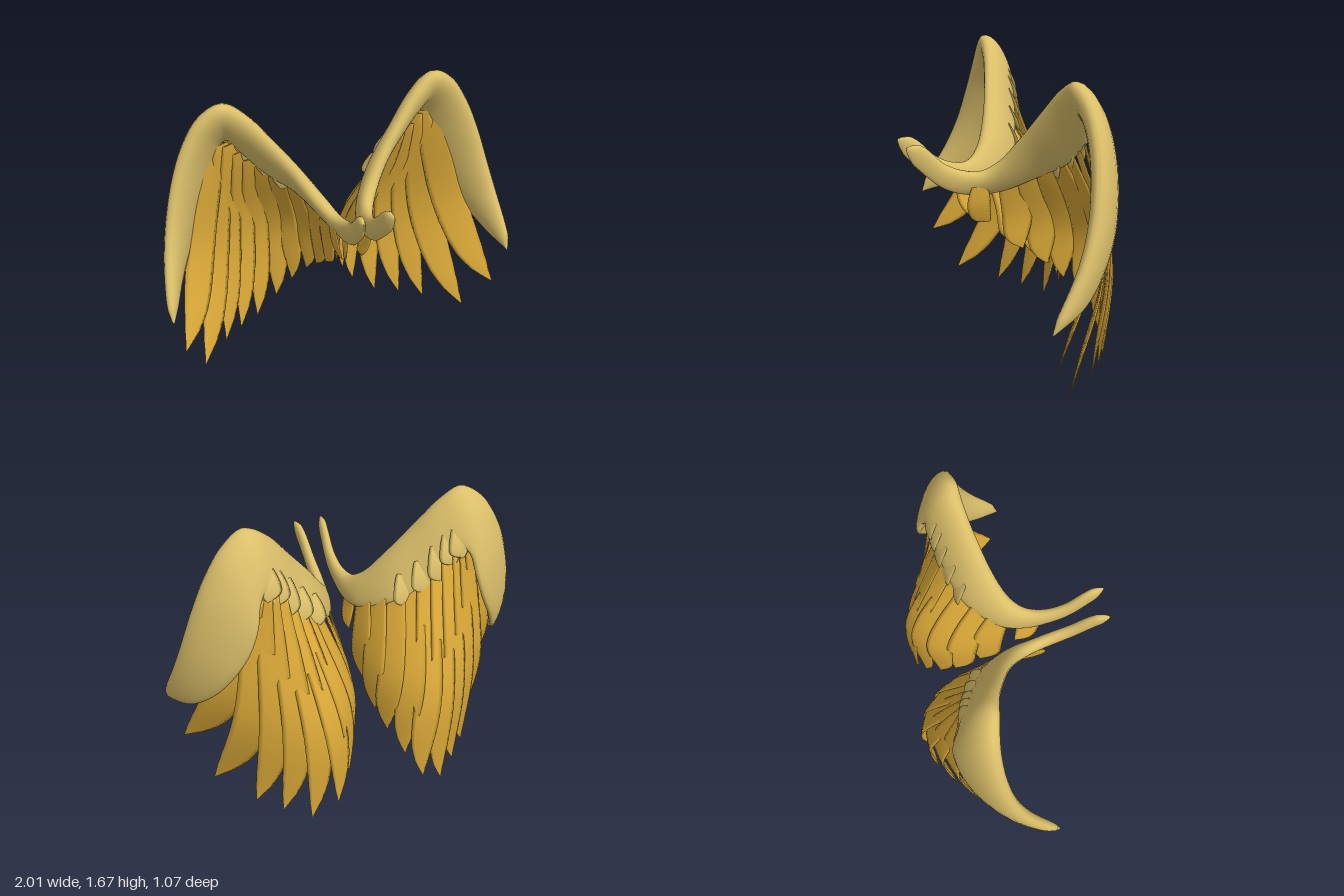
import * as THREE from 'three';

const V = (p, s = 1) => new THREE.Vector3(p[0] * s, p[1], p[2]);

// Closed skin over oval sections; section(u) gives two edge points a, b and a half thickness t
function loft(section, segs, sides) {
  const pos = [], idx = [];
  const mid = u => { const k = section(u); return k.a.clone().add(k.b).multiplyScalar(0.5); };
  for (let i = 0; i <= segs; i++) {
    const u = i / segs, { a, b, t } = section(u), c = mid(u);
    const tan = mid(Math.min(1, u + 0.01)).sub(mid(Math.max(0, u - 0.01)));
    const e = a.clone().sub(b), n = e.clone().cross(tan).normalize();
    for (let j = 0; j < sides; j++) {
      const g = j / sides * Math.PI * 2;
      const p = c.clone().addScaledVector(e, Math.cos(g) / 2)
        .addScaledVector(n, Math.sin(g) * t * (1 + 0.3 * Math.cos(g)));
      pos.push(p.x, p.y, p.z);
      if (i < segs) {
        const k = (j + 1) % sides, r = i * sides, q = r + sides;
        idx.push(r + j, q + j, r + k, q + j, q + k, r + k);
      }
    }
  }
  // end caps
  const last = segs * sides;
  for (let j = 1; j < sides - 1; j++) idx.push(0, j, j + 1, last, last + j + 1, last + j);
  const geo = new THREE.BufferGeometry();
  geo.setAttribute('position', new THREE.Float32BufferAttribute(pos, 3));
  geo.setIndex(idx);
  geo.computeVertexNormals();
  return geo;
}

// Arm of the wing: leading edge, trailing edge, half thickness
const ARM = [
  [[.08, 1.32, .515], [.08, 1.245, .55], .020],
  [[.068, 1.27, .43], [.068, 1.15, .465], .022],
  [[.062, 1.17, .33], [.06, 1.04, .35], .026],
  [[.07, 1.12, .23], [.06, .985, .24], .03],
  [[.10, 1.11, .14], [.06, .965, .13], .035],
  [[.15, 1.165, .06], [.085, .98, .00], .04],
  [[.25, 1.32, -.02], [.20, 1.08, -.17], .042],
  [[.37, 1.485, -.08], [.33, 1.17, -.24], .045],
  [[.48, 1.615, -.12], [.45, 1.30, -.28], .05],
  [[.585, 1.675, -.14], [.53, 1.40, -.30], .055],
  [[.69, 1.61, -.155], [.57, 1.36, -.33], .055],
  [[.785, 1.47, -.155], [.60, 1.24, -.36], .055],
  [[.86, 1.29, -.135], [.65, 1.10, -.355], .054],
  [[.92, 1.08, -.09], [.725, .96, -.315], .05],
  [[.96, .90, -.02], [.81, .81, -.225], .044],
  [[.985, .74, .075], [.90, .685, -.09], .034],
  [[1.0, .605, .155], [.97, .60, .105], .018],
];

// Feathers from outermost to innermost: root, middle, tip, width, facing angle in degrees
const FEATHERS = [
  [[.60, 1.38, -.27], [.755, .82, -.20], [.935, .35, .08], .21, 32],
  [[.56, 1.39, -.28], [.655, .70, -.31], [.82, .10, -.05], .20, 30],
  [[.52, 1.38, -.28], [.56, .70, -.39], [.65, .05, -.27], .17, 24],
  [[.47, 1.33, -.27], [.465, .68, -.45], [.53, .03, -.38], .16, 16],
  [[.42, 1.28, -.26], [.375, .65, -.49], [.40, .01, -.48], .15, 3],
  [[.36, 1.23, -.24], [.28, .65, -.50], [.26, .11, -.52], .15, -20],
  [[.30, 1.18, -.21], [.20, .70, -.45], [.17, .26, -.46], .15, -44],
  [[.23, 1.14, -.16], [.12, .72, -.36], [.10, .39, -.37], .16, -60],
  [[.16, 1.10, -.09], [.075, .75, -.24], [.065, .48, -.28], .17, -74],
  [[.11, 1.06, -.01], [.06, .80, -.10], [.055, .60, -.13], .17, -80],
  [[.105, 1.03, .15], [.09, .92, .14], [.06, .80, .07], .13, -85],
];

// Width along a feather, from root to tip
const PROFILE = [.65, .76, .86, .93, .98, 1, .98, .92, .78, .5, .03];
function widthAt(u) {
  const f = u * 10, i = Math.min(9, Math.floor(f));
  return THREE.MathUtils.lerp(PROFILE[i], PROFILE[i + 1], f - i);
}

function featherGeometry(root, middle, tip, width, angle, thick, s) {
  const curve = new THREE.CatmullRomCurve3([root, middle, tip]);
  const g = THREE.MathUtils.degToRad(angle);
  const out = new THREE.Vector3(Math.cos(g) * s, 0, Math.sin(g));
  return loft(u => {
    const c = curve.getPoint(u), tan = curve.getTangent(u), w = widthAt(u);
    const e = out.clone().addScaledVector(tan, -out.dot(tan)).normalize();
    // the blade sags inward so that the point lies toward its outer edge
    c.addScaledVector(e, -0.15 * width * Math.sin(Math.PI * u ** 3));
    return {
      a: c.clone().addScaledVector(e, width * w / 2),
      b: c.clone().addScaledVector(e, -width * w / 2),
      t: thick * w,
    };
  }, 20, 8);
}

function armSection(s) {
  const lead = new THREE.CatmullRomCurve3(ARM.map(k => V(k[0], s)));
  const trail = new THREE.CatmullRomCurve3(ARM.map(k => V(k[1], s)));
  return u => {
    const f = u * (ARM.length - 1), i = Math.min(ARM.length - 2, Math.floor(f));
    const round = Math.sqrt(Math.max(.02, Math.min(1, u / .035, (1 - u) / .035)));
    const a = lead.getPoint(u), b = trail.getPoint(u), c = a.clone().lerp(b, .5);
    return {
      a: a.lerp(c, 1 - round),
      b: b.lerp(c, 1 - round),
      t: THREE.MathUtils.lerp(ARM[i][2], ARM[i + 1][2], f - i) * round,
    };
  };
}

export function createModel() {
  const armMat = new THREE.MeshStandardMaterial({ color: 0xdcc06a });
  armMat.name = 'pale gold';
  const featherMat = new THREE.MeshStandardMaterial({ color: 0xdcaa38 });
  featherMat.name = 'deep gold';
  const model = new THREE.Group();
  model.name = 'wings';

  for (const s of [1, -1]) {
    const wing = new THREE.Group();
    wing.name = s > 0 ? 'leftWing' : 'rightWing';
    const add = (name, geo, mat) => {
      const mesh = new THREE.Mesh(geo, mat);
      mesh.name = name;
      wing.add(mesh);
    };

    const section = armSection(s);
    add('wingArm', loft(section, 96, 20), armMat);

    FEATHERS.forEach(([r, m, t, w, g], i) =>
      add('feather' + (i + 1), featherGeometry(V(r, s), V(m, s), V(t, s), w, g, .007, s), featherMat));

    // short pointed coverts giving the arm its ragged rear edge
    [.405, .445, .485, .52, .555].forEach((u, i) => {
      const { a, b } = section(u);
      const root = a.clone().lerp(b, .6).add(V([-.012, .01, -.02], s));
      const tip = b.clone().add(V([.01, i % 2 ? -.025 : -.045, -.02], s));
      const mid = root.clone().lerp(tip, .5).add(V([-.004, 0, -.008], s));
      add('covert' + (i + 1), featherGeometry(root, mid, tip, .13, -5, .009, s), armMat);
    });
    model.add(wing);
  }
  return model;
}
